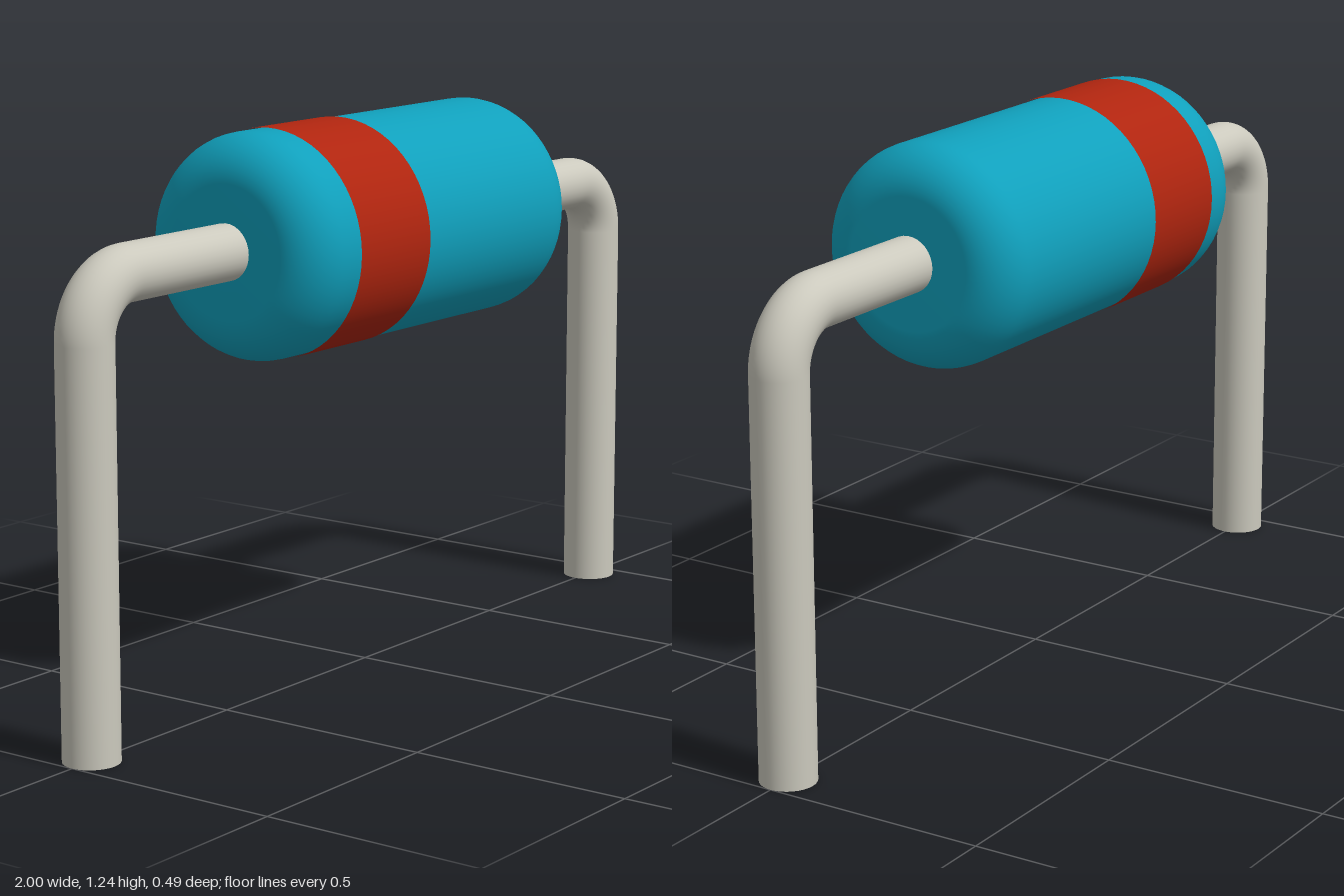
import * as THREE from 'three';

const AXIS_Y = 0.99, WIRE_R = 0.061, LEG_X = 0.939, BEND_R = 0.125;

function mesh(name, geometry, material) {
  const m = new THREE.Mesh(geometry, material);
  m.name = name;
  return m;
}

// Profile of [radius, position] pairs revolved around the x axis
function revolveX(points) {
  const geometry = new THREE.LatheGeometry(points.map(([r, x]) => new THREE.Vector2(r, x)), 64);
  return geometry.rotateZ(-Math.PI / 2);
}

// Barrel with rounded rims
function bodyProfile(radius, half, fillet, steps = 10) {
  const end = [];
  for (let i = 0; i <= steps; i++) {
    const a = (i / steps) * Math.PI / 2;
    end.push([radius - fillet + fillet * Math.sin(a), -half + fillet - fillet * Math.cos(a)]);
  }
  const otherEnd = end.map(([r, x]) => [r, -x]).reverse();
  return [[0, -half], ...end, ...otherEnd, [0, half]];
}

// One bent wire: horizontal lead, quarter bend, vertical leg
function createLead(material) {
  const lead = new THREE.Group();
  const bendX = LEG_X - BEND_R, bendY = AXIS_Y - BEND_R;
  const startX = 0.45;

  const arm = mesh('leadArm', new THREE.CylinderGeometry(WIRE_R, WIRE_R, bendX - startX, 32, 1, true), material);
  arm.rotation.z = -Math.PI / 2;
  arm.position.set((startX + bendX) / 2, AXIS_Y, 0);

  const bend = mesh('leadBend', new THREE.TorusGeometry(BEND_R, WIRE_R, 32, 20, Math.PI / 2), material);
  bend.position.set(bendX, bendY, 0);

  const leg = mesh('leadLeg', new THREE.CylinderGeometry(WIRE_R, WIRE_R, bendY, 32), material);
  leg.position.set(LEG_X, bendY / 2, 0);

  lead.add(arm, bend, leg);
  return lead;
}

export function createModel() {
  const material = (name, color) => {
    const m = new THREE.MeshStandardMaterial({ color });
    m.name = name;
    return m;
  };
  const teal = material('teal', 0x10a0bc);
  const red = material('red', 0xb0250f);
  const metal = material('wire metal', 0xcbc9bd);

  const model = new THREE.Group();
  model.name = 'axialComponent';

  const body = mesh('body', revolveX(bodyProfile(0.244, 0.49, 0.1)), teal);
  body.position.y = AXIS_Y;

  // Thin painted ring near the right end
  const band = mesh('band', revolveX([[0.247, -0.347], [0.247, -0.1]]), red);
  band.position.y = AXIS_Y;

  const leftLead = createLead(metal);
  leftLead.name = 'leftLead';
  const rightLead = createLead(metal);
  rightLead.name = 'rightLead';
  rightLead.rotation.y = Math.PI;

  model.add(body, band, leftLead, rightLead);
  return model;
}
